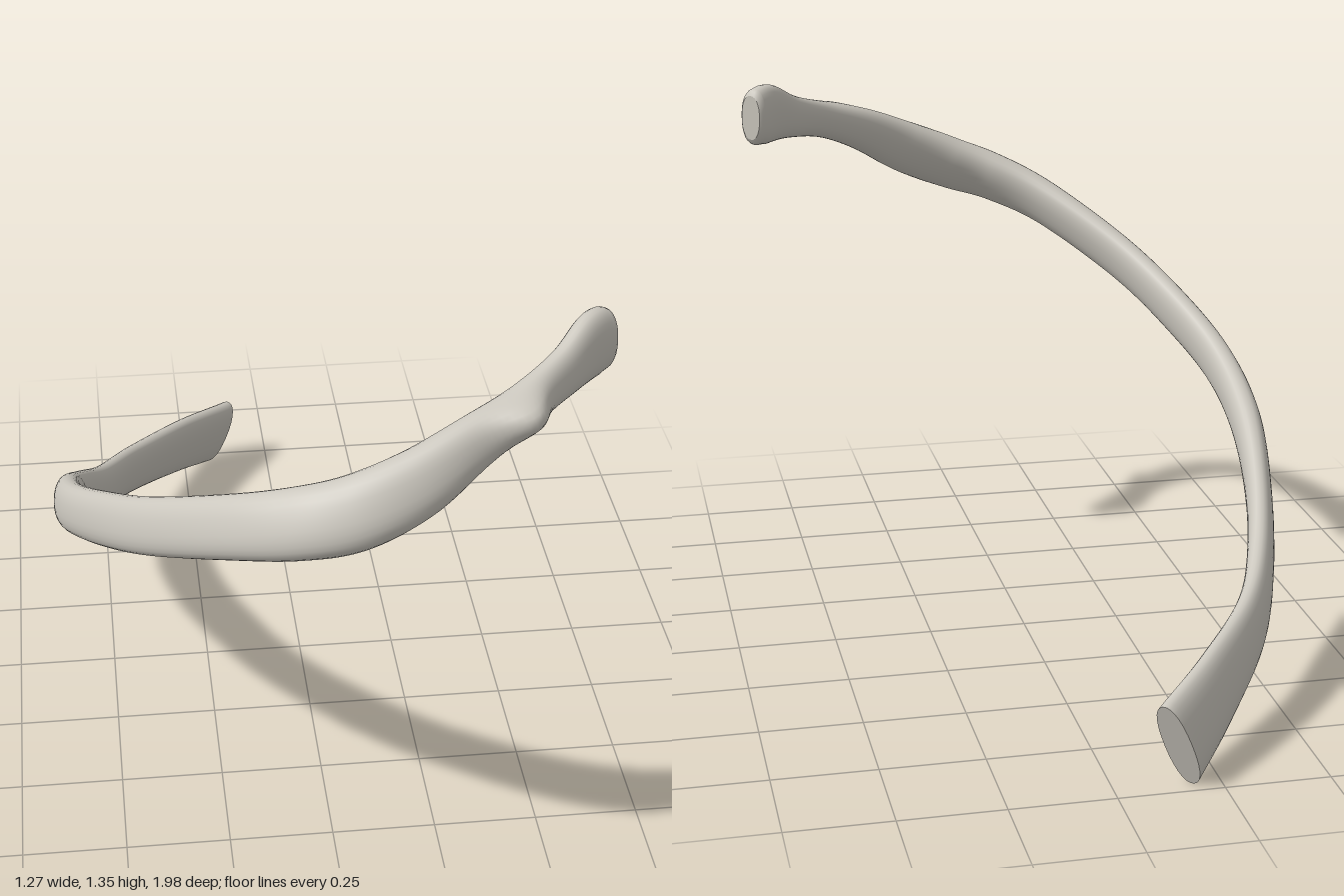
import * as THREE from 'three';

const SIDES = 28, STEPS = 170;

// Stations along the rib: centre x, y, z, half height, half thickness, inward tilt (degrees)
const stations = [
  [-0.147, 0.107, -0.968, 0.106, 0.036, 16],
  [-0.28, 0.16, -0.81, 0.093, 0.035, 13],
  [-0.428, 0.222, -0.6, 0.077, 0.033, 10],
  [-0.515, 0.292, -0.4, 0.069, 0.033, 6],
  [-0.57, 0.405, -0.2, 0.068, 0.034, 4],
  [-0.595, 0.528, 0, 0.064, 0.038, 4],
  [-0.578, 0.63, 0.2, 0.063, 0.037, 6],
  [-0.51, 0.73, 0.4, 0.066, 0.037, 10],
  [-0.405, 0.835, 0.6, 0.068, 0.038, 16],
  [-0.235, 0.955, 0.8, 0.073, 0.042, 24],
  [-0.1, 1.018, 0.895, 0.08, 0.048, 32],
  [0.02, 1.058, 0.926, 0.083, 0.052, 34],
  [0.15, 1.112, 0.912, 0.076, 0.05, 28],
  [0.28, 1.178, 0.863, 0.06, 0.044, 20],
  [0.4, 1.223, 0.795, 0.05, 0.036, 14],
  [0.5, 1.25, 0.715, 0.058, 0.033, 8],
  [0.57, 1.272, 0.645, 0.08, 0.037, 4],
  [0.607, 1.272, 0.61, 0.076, 0.04, 2],
];

const path = new THREE.CatmullRomCurve3(stations.map(s => new THREE.Vector3(s[0], s[1], s[2])), false, 'catmullrom');
const section = new THREE.CatmullRomCurve3(stations.map(s => new THREE.Vector3(s[3], s[4], s[5])), false, 'catmullrom');
const up = new THREE.Vector3(0, 1, 0);
const rounded = v => Math.sign(v) * Math.abs(v) ** 0.88;

// One oval ring across the rib, with the tubercle swelling on its outer side
function ring(t, scale = 1, push = 0) {
  const tangent = path.getTangent(t), { x: h, y: w, z: tilt } = section.getPoint(t);
  const inward = new THREE.Vector3().crossVectors(up, tangent).normalize();
  const normal = new THREE.Vector3().crossVectors(tangent, inward);
  const a = THREE.MathUtils.degToRad(tilt);
  const long = normal.clone().multiplyScalar(Math.cos(a)).addScaledVector(inward, Math.sin(a));
  const short = inward.clone().multiplyScalar(Math.cos(a)).addScaledVector(normal, -Math.sin(a));
  const centre = path.getPoint(t).addScaledVector(tangent, push);
  const along = Math.exp(-(((t * (stations.length - 1) - 13.75) / 0.42) ** 2));
  return Array.from({ length: SIDES }, (_, j) => {
    const angle = j / SIDES * Math.PI * 2;
    const bump = 0.058 * along * Math.exp(-(((angle - Math.PI) / 0.95) ** 2));
    return centre.clone()
      .addScaledVector(long, h * scale * rounded(Math.sin(angle)))
      .addScaledVector(short, w * scale * rounded(Math.cos(angle)) - bump);
  });
}

// Skin a list of rings
function loft(rings) {
  const index = [];
  for (let i = 0; i < rings.length - 1; i++) {
    for (let j = 0; j < SIDES; j++) {
      const k = (j + 1) % SIDES, p = i * SIDES, q = p + SIDES;
      index.push(p + j, p + k, q + j, p + k, q + k, q + j);
    }
  }
  return build(rings.flat(), index);
}

// Flat fan closing a ring
function fan(points, flip) {
  const centre = points.reduce((s, p) => s.add(p), new THREE.Vector3()).divideScalar(SIDES);
  const index = [];
  for (let j = 0; j < SIDES; j++) {
    const k = (j + 1) % SIDES;
    index.push(SIDES, flip ? k : j, flip ? j : k);
  }
  return build([...points, centre], index);
}

function build(points, index) {
  const geometry = new THREE.BufferGeometry().setFromPoints(points);
  geometry.setIndex(index);
  geometry.computeVertexNormals();
  return geometry;
}

export function createModel() {
  const group = new THREE.Group();
  group.name = 'rib';
  const bone = new THREE.MeshStandardMaterial({ color: 0xcbc7be });
  bone.name = 'bone';
  const add = (name, geometry) => {
    const mesh = new THREE.Mesh(geometry, bone);
    mesh.name = name;
    group.add(mesh);
  };

  // Curved shaft, neck and head, with a softened rim at the head
  const rings = Array.from({ length: STEPS + 1 }, (_, i) => ring(i / STEPS));
  rings.push(ring(1, 0.93, 0.009), ring(1, 0.78, 0.015));
  add('ribShaft', loft(rings));

  // Flat end faces
  add('shaftEndFace', fan(rings[0], true));
  add('headFace', fan(rings[rings.length - 1], false));
  return group;
}
